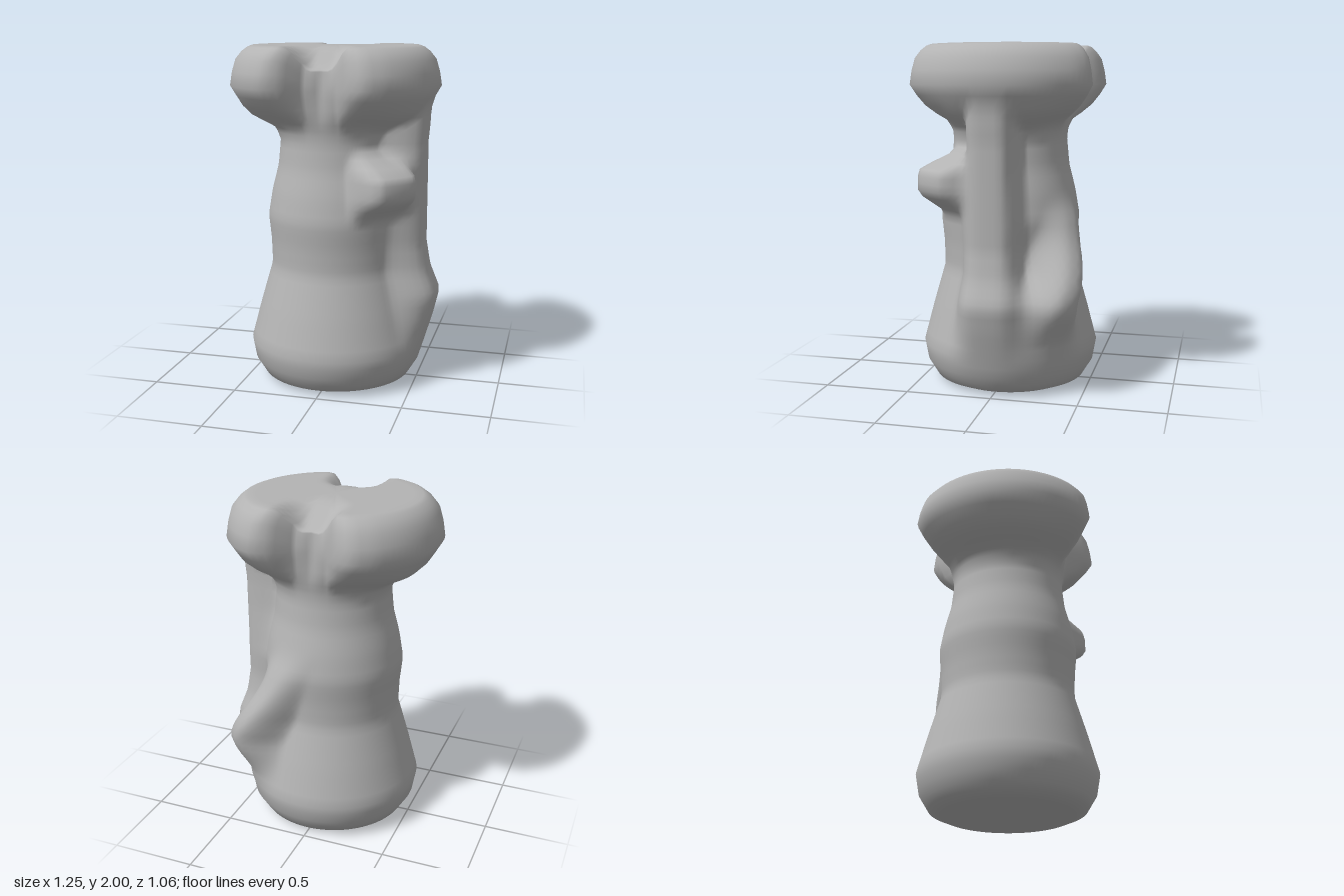
import * as THREE from 'three';

const SIDES = 96;
const DEG = Math.PI / 180;
const { lerp, smoothstep } = THREE.MathUtils;

// Piecewise linear lookup in a list of [key, value] pairs
function lookup(table, k) {
  if (k <= table[0][0]) return table[0][1];
  for (let i = 1; i < table.length; i++) {
    const [k0, v0] = table[i - 1], [k1, v1] = table[i];
    if (k <= k1) return v0 + (v1 - v0) * (k - k0) / (k1 - k0);
  }
  return table[table.length - 1][1];
}

// 1 within "inner" of zero, fading to 0 at "outer"
const fade = (d, inner, outer) => 1 - smoothstep(Math.abs(d), inner, outer);

// Shaft profile, and the fuller profile of the rib on its left side
const SHAFT = [[0, 0.4], [0.03, 0.45], [0.12, 0.505], [0.23, 0.525], [0.45, 0.467], [0.7, 0.395],
  [0.85, 0.4], [1, 0.415], [1.15, 0.39], [1.3, 0.352], [1.45, 0.338], [1.7, 0.345]];
const RIB = [[0, 0.4], [0.03, 0.45], [0.15, 0.515], [0.4, 0.59], [0.55, 0.625], [0.7, 0.565],
  [0.85, 0.54], [1.45, 0.54], [1.6, 0.555], [1.75, 0.58]];

function shaftRadius(a, y) {
  let r = lookup(SHAFT, y);
  // Rib: soft towards the front, steeper at the back, broader near the foot
  const low = fade(y - 0.4, 0.15, 0.45);
  const outer = a > 0 ? 33 : 27 + low * 9;
  r = lerp(r, Math.max(r, lookup(RIB, y)), fade(a, 8, outer));
  // Knob at the front left
  const knob = fade(a - 40, 11, 29) * fade(y - 1.22, 0.05, y > 1.22 ? 0.19 : 0.22);
  r = lerp(r, Math.max(r, 0.59), knob);
  // Pointed swelling at the back left, its ridge leaning backwards as it rises
  const rise = Math.max(0, y - 0.55);
  const swell = fade(a + 41 + 50 * rise, 3, 28) * fade(y - 0.55, 0, rise > 0 ? 0.62 : 0.36);
  return lerp(r, Math.max(r, 0.655), swell);
}

// Crown outline by angle away from the notch centre, and its rounded side profile
const OUTLINE = [[0, 0.36], [15, 0.412], [19.5, 0.525], [28, 0.607], [40, 0.622], [90, 0.62]];
const BULGE = [[1.46, 0], [1.53, 0.1], [1.6, 0.55], [1.65, 0.73], [1.77, 1], [1.85, 0.95],
  [1.92, 0.87], [1.965, 0.73], [1.99, 0.6], [2, 0.5]];

function crownRadius(a, y) {
  const fromNotch = Math.abs(90 - Math.abs(a));
  // The underside sits higher towards the front and back
  const lift = 0.03 * fade(fromNotch, 30, 70) * fade(y, 1.62, 1.77);
  const neck = lerp(0.335, 0.36, smoothstep(y, 1.44, 1.62));
  return neck + (lookup(OUTLINE, fromNotch) - 0.36) * lookup(BULGE, y - lift);
}

// Shaft below, crown above, the rib running up into the crown
function bodyRadius(a, y) {
  if (y < 1.44) return shaftRadius(a, y);
  return y < 1.75 ? Math.max(shaftRadius(a, y), crownRadius(a, y)) : crownRadius(a, y);
}

// Closed surface through rings of [height, inward scale]
function loft(rings) {
  const pos = [], index = [];
  rings.forEach(([y, scale], j) => {
    for (let i = 0; i < SIDES; i++) {
      let a = (i / SIDES) * 360;
      if (a > 180) a -= 360;
      const r = bodyRadius(a, y) * scale;
      const x = r * Math.cos(a * DEG), z = r * Math.sin(a * DEG);
      // The top dips into the notches at front and back
      const sag = 0.13 * fade(x, 0.05, 0.19) * smoothstep(Math.abs(z), 0.15, 0.37) * smoothstep(y, 1.7, 2);
      pos.push(x - 0.01 * smoothstep(y, 1.5, 1.75), y - sag, z);
      if (j === 0) continue;
      const n = (i + 1) % SIDES, lo = (j - 1) * SIDES, hi = j * SIDES;
      index.push(lo + i, hi + i, lo + n, lo + n, hi + i, hi + n);
    }
  });
  const g = new THREE.BufferGeometry();
  g.setAttribute('position', new THREE.Float32BufferAttribute(pos, 3));
  g.setIndex(index);
  g.computeVertexNormals();
  return g;
}

export function createModel() {
  const stone = new THREE.MeshStandardMaterial({ color: 0xb3b3b3 });
  stone.name = 'grey stone';
  const group = new THREE.Group();
  group.name = 'towerPiece';

  // Flat foot
  const rings = [[0, 0], [0, 0.5], [0, 0.95]];
  for (const y of [0.03, 0.07, 0.12, 0.18, 0.23]) rings.push([y, 1]);
  // Shaft
  for (let y = 0.29; y < 1.48; y += 0.04) rings.push([y, 1]);
  // Crown side, then its top running in to the centre
  for (const y of [1.5, 1.53, 1.565, 1.6, 1.65, 1.71, 1.77, 1.85, 1.92, 1.965, 1.99, 2]) rings.push([y, 1]);
  for (const scale of [0.9, 0.8, 0.7, 0.6, 0.5, 0.3, 0]) rings.push([2, scale]);

  const body = new THREE.Mesh(loft(rings), stone);
  body.name = 'shaftAndCrown';
  group.add(body);
  return group;
}
